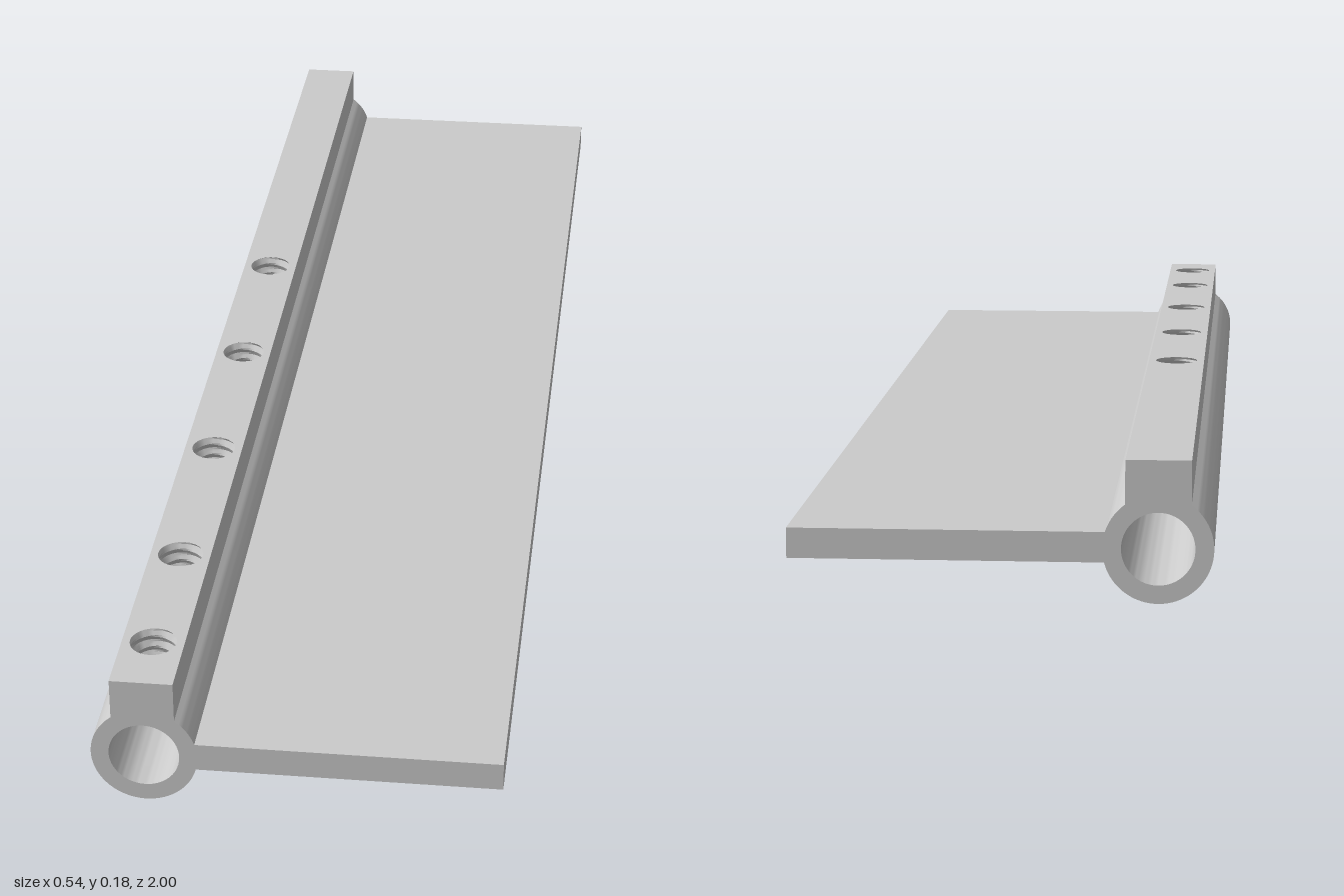
import * as THREE from 'three';
import { toCreasedNormals } from 'three/addons/utils/BufferGeometryUtils.js';

const CX = -0.2, CY = 0.07;            // tube axis
const R_OUT = 0.07, R_BORE = 0.0465;   // tube radii
const RAIL = 0.0415, TOP = 0.183;      // rail half width and top height
const PLATE_TOP = 0.091, PLATE_BOTTOM = 0.052, PLATE_END = 0.268;
const R_HOLE = 0.031, SEG = 32;        // screw holes
const HOLES = [-0.19, 0.105, 0.4, 0.69, 0.905];

const boreTop = (dx) => CY + Math.sqrt(R_BORE ** 2 - dx ** 2);

// Mesh from a list of four-cornered faces, counter-clockwise from outside
function quadMesh(name, quads, material, crease = 0.6) {
  const pos = [];
  for (const [a, b, c, d] of quads) for (const p of [a, b, c, a, c, d]) pos.push(...p);
  const geo = new THREE.BufferGeometry();
  geo.setAttribute('position', new THREE.Float32BufferAttribute(pos, 3));
  const mesh = new THREE.Mesh(toCreasedNormals(geo, crease), material);
  mesh.name = name;
  return mesh;
}

// Section line swept along the whole length; outside lies left of the line
function sweep(name, pts, material) {
  const quads = [];
  for (let i = 0; i + 1 < pts.length; i++) {
    const [p, q] = [pts[i], pts[i + 1]];
    quads.push([[...p, -1], [...p, 1], [...q, 1], [...q, -1]]);
  }
  return quadMesh(name, quads, material);
}

function arc(r, from, to, n) {
  return Array.from({ length: n + 1 }, (_, i) => {
    const a = from + (to - from) * i / n;
    return [CX + r * Math.cos(a), CY + r * Math.sin(a)];
  });
}

// Lengthwise strip across the hole row, with the round openings left out
function piercedStrip(name, height, up, material) {
  const quads = [], n = SEG / 2;
  const column = (i) => {
    const a = Math.PI * i / n;
    return { x: -R_HOLE * Math.cos(a), half: R_HOLE * Math.sin(a) };
  };
  for (let i = 0; i < n; i++) {
    const l = column(i), r = column(i + 1);
    for (let k = 0; k <= HOLES.length; k++) {
      const start = (c) => (k === 0 ? -1 : HOLES[k - 1] + c.half);
      const end = (c) => (k === HOLES.length ? 1 : HOLES[k] - c.half);
      const at = (c, z) => [CX + c.x, height(c.x), z];
      const q = [at(l, start(l)), at(l, end(l)), at(r, end(r)), at(r, start(r))];
      quads.push(up ? q : q.reverse());
    }
  }
  return quadMesh(name, quads, material);
}

// Threaded wall running from the rail top down into the bore
function threadedHole(z, material) {
  const rows = 24, turns = 4, quads = [];
  const point = (i, j) => {
    const a = (i / SEG) * Math.PI * 2, u = j / rows;
    const t = (turns * u + i / SEG) % 1;
    const groove = j === 0 || j === rows ? 0 : 0.005 * (1 - Math.abs(2 * t - 1));
    const low = boreTop(R_HOLE * Math.cos(a));
    const r = R_HOLE + groove;
    return [CX + r * Math.cos(a), low + (TOP - low) * u, z + r * Math.sin(a)];
  };
  for (let i = 0; i < SEG; i++) for (let j = 0; j < rows; j++) {
    quads.push([point(i, j), point(i + 1, j), point(i + 1, j + 1), point(i, j + 1)]);
  }
  return quadMesh('threadedHole', quads, material, 0.5);
}

export function createModel() {
  const model = new THREE.Group();
  model.name = 'railWithPlate';
  const grey = new THREE.MeshStandardMaterial({ color: 0xcccccc });
  const greyBoth = new THREE.MeshStandardMaterial({ color: 0xcccccc, side: THREE.DoubleSide });

  // Section lines, clockwise around the outside
  const railA = Math.acos(RAIL / R_OUT);
  const upperA = Math.asin((PLATE_TOP - CY) / R_OUT);
  const lowerA = Math.asin((PLATE_BOTTOM - CY) / R_OUT);
  const shoulder = arc(R_OUT, railA, upperA, 12);
  const shell = arc(R_OUT, lowerA, railA - Math.PI - 2 * railA, 56);
  const plate = [shoulder.at(-1), [PLATE_END, PLATE_TOP], [PLATE_END, PLATE_BOTTOM], shell[0]];
  const railRight = [[CX + R_HOLE, TOP], [CX + RAIL, TOP], shoulder[0]];
  const railLeft = [shell.at(-1), [CX - RAIL, TOP], [CX - R_HOLE, TOP]];
  const holeA = Math.acos(R_HOLE / R_BORE);
  const bore = arc(R_BORE, Math.PI - holeA, 2 * Math.PI + holeA, 52);

  model.add(
    sweep('railRightSide', railRight, grey),
    sweep('tubeShoulder', shoulder, grey),
    sweep('plate', plate, grey),
    sweep('tubeShell', shell, grey),
    sweep('railLeftSide', railLeft, grey),
    sweep('bore', bore, grey),
    piercedStrip('railTop', () => TOP, true, grey),
    piercedStrip('boreCeiling', boreTop, false, grey),
    ...HOLES.map((z) => threadedHole(z, greyBoth)),
  );

  // End faces showing the full section
  const vec = (list) => list.map(([x, y]) => new THREE.Vector2(x, y));
  const outline = [railRight, shoulder.slice(1), plate.slice(1), shell.slice(1), railLeft.slice(1)].flat();
  const section = new THREE.Shape(vec(outline));
  const ceiling = arc(R_BORE, holeA, Math.PI - holeA, 16).slice(1, -1);
  section.holes.push(new THREE.Path(vec([...bore, ...ceiling])));
  for (const z of [1, -1]) {
    const end = new THREE.Mesh(new THREE.ShapeGeometry(section), greyBoth);
    end.position.z = z;
    end.name = z > 0 ? 'frontEnd' : 'backEnd';
    model.add(end);
  }
  return model;
}
